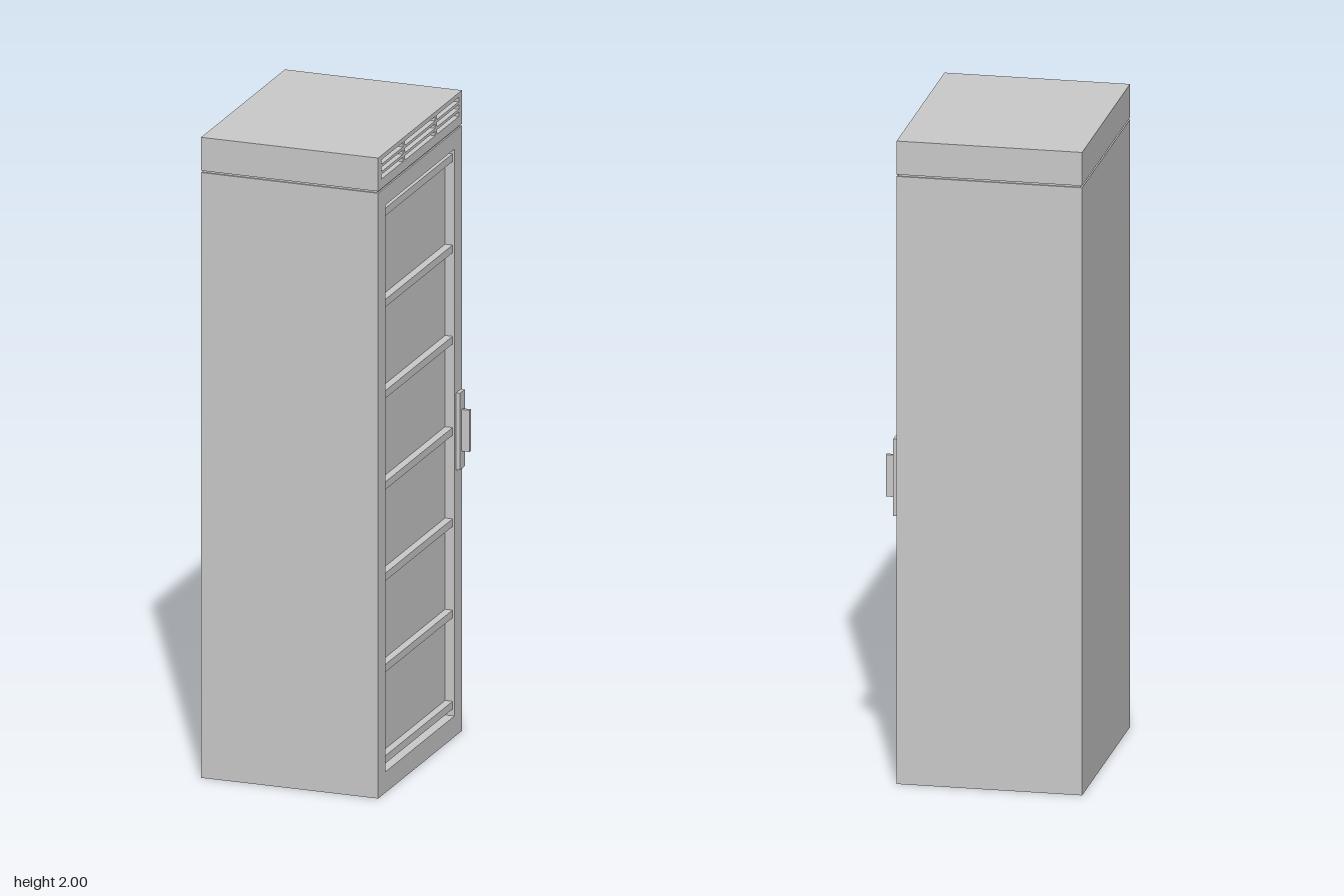
import * as THREE from 'three';

const material = new THREE.MeshStandardMaterial({ color: 0xcccccc, flatShading: true });

const BACK = -0.30, FRONT = 0.263, HALF = 0.35;   // cabinet depth runs along x
const RECESS = 0.03;                              // depth of the door window
const WIN = { u0: -0.29, u1: 0.287, y0: 0.065, y1: 1.835 };

export function createModel() {
  const model = new THREE.Group();

  function add(name, geometry) {
    const mesh = new THREE.Mesh(geometry, material);
    mesh.name = name;
    model.add(mesh);
    return mesh;
  }

  // Box given by its limits on each axis
  function box(name, x0, x1, y0, y1, z0, z1) {
    const mesh = add(name, new THREE.BoxGeometry(x1 - x0, y1 - y0, z1 - z0));
    mesh.position.set((x0 + x1) / 2, (y0 + y1) / 2, (z0 + z1) / 2);
    return mesh;
  }

  function rectangle(path, u0, u1, y0, y1) {
    path.moveTo(u0, y0);
    path.lineTo(u1, y0);
    path.lineTo(u1, y1);
    path.lineTo(u0, y1);
    path.closePath();
    return path;
  }

  // Plate with rectangular holes, facing +x and ending at the cabinet front (u = -z)
  function plate(name, y0, y1, depth, holes) {
    const shape = rectangle(new THREE.Shape(), -HALF, HALF, y0, y1);
    for (const h of holes) shape.holes.push(rectangle(new THREE.Path(), ...h));
    const geometry = new THREE.ExtrudeGeometry(shape, { depth, bevelEnabled: false });
    geometry.rotateY(Math.PI / 2).translate(FRONT - depth, 0, 0);
    return add(name, geometry);
  }

  // Cabinet body and the framed door on its front
  const panel = FRONT - RECESS;
  box('cabinetBody', BACK, panel, 0, 1.89, -HALF, HALF);
  plate('doorFrame', 0, 1.89, RECESS, [[WIN.u0, WIN.u1, WIN.y0, WIN.y1]]);

  // Shelf edges across the window
  for (let i = 0; i < 7; i++) {
    const top = 0.11 + i * 0.285;
    box('shelf', panel - 0.002, FRONT - 0.006, top - 0.024, top, -WIN.u1, -WIN.u0);
  }

  // Narrow shadow gap below the top housing
  box('topGap', BACK + 0.005, FRONT - 0.005, 1.885, 1.9, -HALF + 0.005, HALF - 0.005);

  // Top housing with three banks of vent slots
  const ventDepth = 0.02;
  box('topHousing', BACK, FRONT - ventDepth, 1.896, 2, -HALF, HALF);
  const slots = [];
  for (const [u0, u1] of [[-0.323, -0.143], [-0.125, 0.125], [0.14, 0.323]]) {
    for (const y of [1.933, 1.956, 1.979]) slots.push([u0, u1, y - 0.007, y + 0.007]);
  }
  plate('ventGrille', 1.896, 2, ventDepth, slots);

  // Handle: mounting plate and projecting grip
  box('handlePlate', FRONT, 0.275, 0.83, 1.07, -0.341, -0.30);
  box('handleGrip', 0.275, 0.30, 0.885, 1.015, -0.327, -0.315);

  return model;
}
